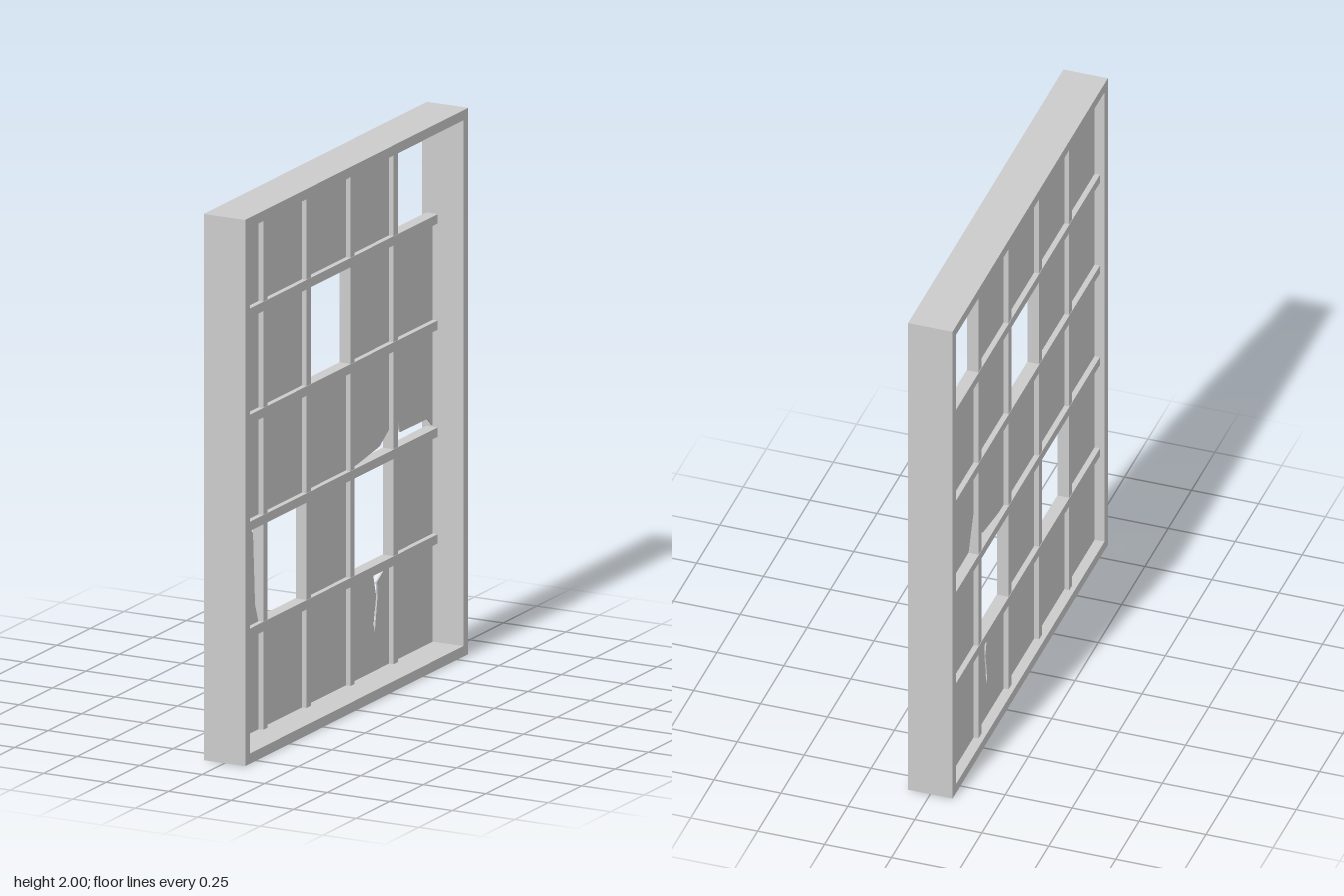
import * as THREE from 'three';

const material = new THREE.MeshStandardMaterial({ color: 0xcccccc, flatShading: true });

// Extrudes an outline drawn in (u, y), with u = -z, between two x positions
function slab(name, shape, x0, x1) {
  const geometry = new THREE.ExtrudeGeometry(shape, { depth: x1 - x0, bevelEnabled: false });
  geometry.translate(0, 0, x0);
  geometry.rotateY(Math.PI / 2);
  const mesh = new THREE.Mesh(geometry, material);
  mesh.name = name;
  return mesh;
}

const outline = (points) => points.map(([u, y]) => new THREE.Vector2(u, y));
const rect = (u0, y0, u1, y1) => [[u0, y0], [u1, y0], [u1, y1], [u0, y1]];

function bar(name, width, height, depth, x, y, z) {
  const mesh = new THREE.Mesh(new THREE.BoxGeometry(depth, height, width), material);
  mesh.name = name;
  mesh.position.set(x, y, z);
  return mesh;
}

export function createModel() {
  const model = new THREE.Group();
  model.name = 'brokenWindow';

  const W = 0.833, D = 0.083;            // outer half width and half depth
  const IW = 0.797, Y0 = 0.038, Y1 = 1.963; // inner opening
  const barX = -0.043, barDepth = 0.046, barSize = 0.031;
  const barU = [-0.487, -0.164, 0.164, 0.487];
  const barY = [1.589, 1.2, 0.808, 0.417];

  // Deep outer frame
  const frame = new THREE.Shape(outline(rect(-W, 0, W, 2)));
  frame.holes.push(new THREE.Path(outline(rect(-IW, Y0, IW, Y1))));
  model.add(slab('frame', frame, -D, D));

  // Glazing bars, set towards the -x side
  const bars = new THREE.Group();
  bars.name = 'glazingBars';
  for (const y of barY) bars.add(bar('horizontalBar', 2 * IW, barSize + 0.003, barDepth, barX, y, 0));
  for (const u of barU) bars.add(bar('verticalBar', barSize, Y1 - Y0, barDepth - 0.003, barX, (Y0 + Y1) / 2, -u));
  model.add(bars);

  // Edges of the pane cells
  const h = barSize / 2, v = h + 0.0015;
  const left = [-IW, ...barU.map((u) => u + h)];
  const right = [...barU.map((u) => u - h), IW];
  const top = [Y1, ...barY.map((y) => y - v)];
  const bottom = [...barY.map((y) => y + v), Y0];

  // Missing panes, as row-column
  const missing = ['0-4', '1-2', '3-1', '3-3'];

  // Outlines of the cracked panes, from the cell edges l, r, b, t
  const broken = {
    '0-0': (l, r, b, t) => [[l, b], [r, b], [r, t], [-0.62, t], [-0.742, 1.945], [l, 1.89]],
    '2-3': (l, r, b, t) => [[l, b], [0.23, b], [0.4, 0.85], [r, 0.895], [r, t], [l, t]],
    '2-4': (l, r, b, t) => [[l, 1.0], [0.555, 0.865], [0.76, 0.863], [r, 0.83], [r, t], [l, t]],
    '3-0': (l, r, b, t) => [[l, b], [-0.505, b], [-0.53, 0.5], [-0.545, 0.765], [-0.567, t], [l, t]],
    '4-3': (l, r, b, t) => [[l, b], [r, b], [r, t], [0.45, t], [0.382, 0.36], [0.386, 0.31],
      [0.365, 0.18], [0.355, 0.21], [0.375, 0.31], [0.35, t], [l, t]],
  };

  // Thin glass panes
  const panes = new THREE.Group();
  panes.name = 'panes';
  for (let row = 0; row < 5; row++) {
    for (let col = 0; col < 5; col++) {
      const key = `${row}-${col}`;
      if (missing.includes(key)) continue;
      const [l, r, b, t] = [left[col], right[col], bottom[row], top[row]];
      const points = broken[key] ? broken[key](l, r, b, t) : rect(l, b, r, t);
      panes.add(slab(broken[key] ? 'brokenPane' : 'pane', new THREE.Shape(outline(points)), -0.046, -0.04));
    }
  }
  model.add(panes);
  return model;
}
